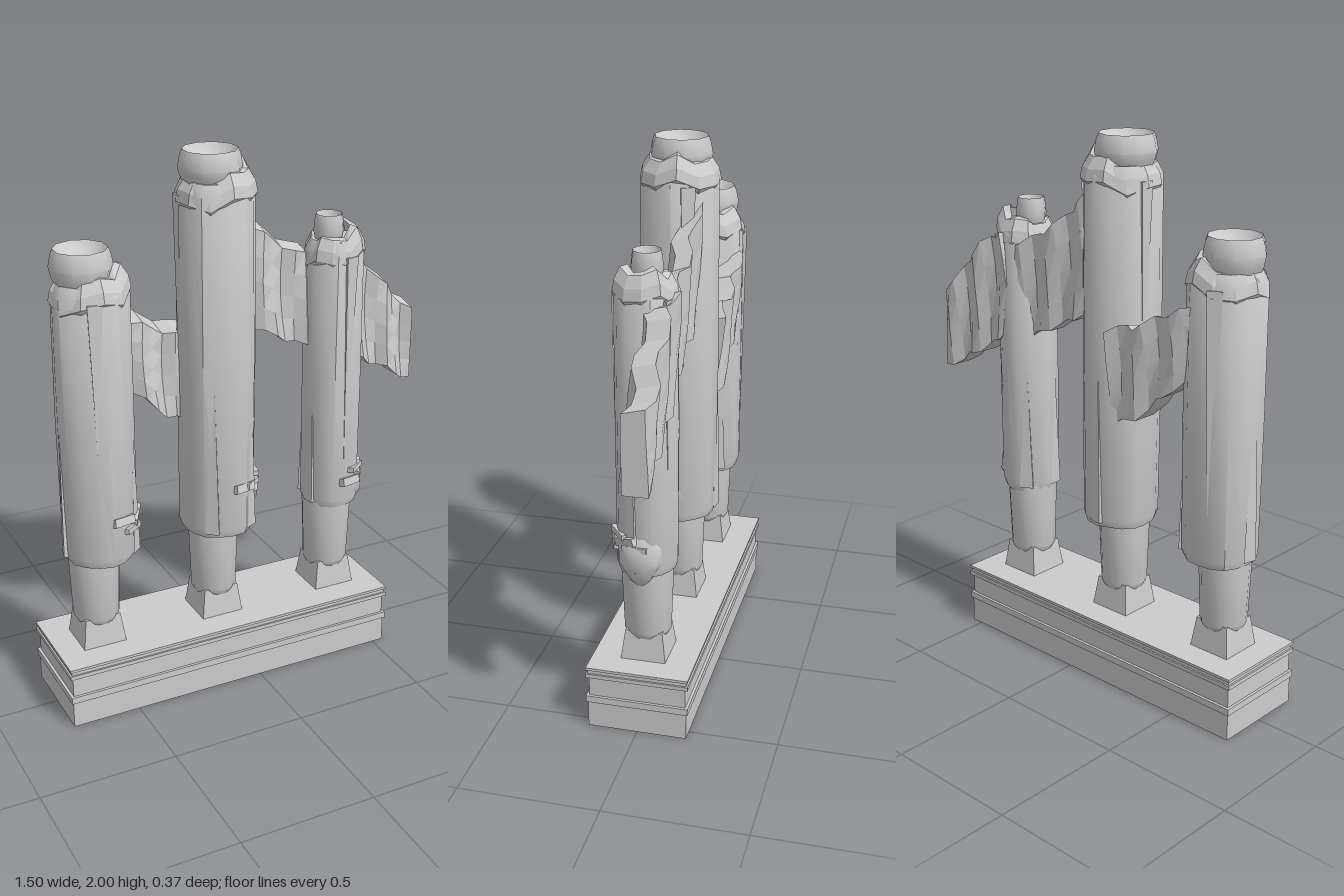
import * as THREE from 'three';
import { toCreasedNormals } from 'three/addons/utils/BufferGeometryUtils.js';

const grey = new THREE.MeshStandardMaterial({ color: 0xcccccc, side: THREE.DoubleSide });
const facet = new THREE.MeshStandardMaterial({ color: 0xcccccc, flatShading: true, side: THREE.DoubleSide });

function add(parent, name, geometry, material, x = 0, y = 0, z = 0) {
  const mesh = new THREE.Mesh(geometry, material);
  mesh.name = name;
  mesh.position.set(x, y, z);
  parent.add(mesh);
  return mesh;
}

// Move every vertex of a geometry by a rule
function warp(geometry, rule) {
  const p = geometry.attributes.position, v = new THREE.Vector3();
  for (let i = 0; i < p.count; i++) {
    rule(v.fromBufferAttribute(p, i));
    p.setXYZ(i, v.x, v.y, v.z);
  }
  geometry.computeVertexNormals();
  return geometry;
}

const lathe = (points, sides) =>
  new THREE.LatheGeometry(points.map(([r, y]) => new THREE.Vector2(r, y)), sides);
const creased = (geometry, angle = 0.6) => toCreasedNormals(geometry, angle);

// Stepped plinth made of three butted sections
function plinth() {
  const group = new THREE.Group();
  group.name = 'plinth';
  const layers = [[0, 0.1, 0.006], [0.1, 0.125, 0], [0.125, 0.2, 0.01], [0.2, 0.215, 0], [0.215, 0.23, 0.006], [0.23, 0.24, 0]];
  for (const [x0, x1, side] of [[-0.76, -0.4, -1], [-0.4, 0.2, 0], [0.2, 0.55, 1]]) {
    for (const [y0, y1, inset] of layers) {
      const left = x0 + (side < 0 ? inset : 0), right = x1 - (side > 0 ? inset : 0);
      const depth = 0.37 - 2 * inset;
      add(group, 'plinthLayer', new THREE.BoxGeometry(right - left, y1 - y0, depth), facet,
        (left + right) / 2, (y0 + y1) / 2, 0);
    }
  }
  return group;
}

// One wrapped pillar: foot, shaft, cloth cover, collar, cup and gathered knot
function pillar({ name, footX, coverX, r, bottom, top, cupX, cupR, cupTop, shaftTop, knotY, phase }) {
  const group = new THREE.Group();
  group.name = name;

  const foot = new THREE.CylinderGeometry(0.095, 0.115, 0.11, 4).rotateY(Math.PI / 4);
  add(group, 'foot', foot, facet, footX, 0.295, 0);
  const shaft = lathe([[0, 0.325], [0.075, 0.325], [0.085, 0.345], [0.095, shaftTop], [0, shaftTop]], 14);
  add(group, 'shaft', creased(shaft), grey, footX, 0, 0);

  // Draped cover with shallow vertical folds
  const cover = lathe([[0, bottom], [r - 0.01, bottom], [r, bottom + 0.03], [r * 1.02, bottom + (top - bottom) * 0.5],
    [r, top - 0.04], [r - 0.02, top], [0, top]], 16);
  warp(cover, (v) => {
    const a = Math.atan2(v.z, v.x);
    const fold = 1 + 0.03 * Math.sin(5 * a + phase) + 0.015 * Math.sin(3 * a + v.y * 3 + phase);
    v.x *= fold;
    v.z *= fold;
  });
  add(group, 'cover', creased(cover), grey, coverX, 0, 0);

  // Uneven folded collar
  const collar = lathe([[r * 0.55, top + 0.025], [r * 0.8, top + 0.02], [r * 0.99, top - 0.02],
    [r * 1.05, top - 0.06], [r * 0.95, top - 0.08]], 11);
  warp(collar, (v) => {
    const a = Math.atan2(v.z, v.x);
    v.y += 0.018 * Math.sin(4 * a + phase) + 0.02 * Math.cos(a);
  });
  add(group, 'collar', collar, facet, coverX, 0, 0);

  // Open cup with a shallow hollow
  const cup = lathe([[cupR * 0.75, top - 0.03], [cupR * 0.93, top + 0.01], [cupR, cupTop - 0.06], [cupR * 0.93, cupTop - 0.02],
    [cupR * 0.86, cupTop], [cupR * 0.6, cupTop - 0.035], [0, cupTop - 0.05]], 10);
  add(group, 'cup', creased(cup, 0.7), grey, cupX, 0, 0);

  // Cloth gathered into a pointed bulge on the left side
  const knotX = coverX + r * 0.55;
  const knot = lathe([[0, -0.13], [0.04, -0.09], [0.085, -0.02], [0.085, 0.04], [0.06, 0.1], [0, 0.15]], 10);
  warp(knot, (v) => { v.x = v.x * 0.8 - v.y * 0.1; });
  add(group, 'gatheredCloth', creased(knot, 0.8), grey, knotX, knotY, 0.005);

  // Crumpled ties across the gather
  for (let i = 0; i < 4; i++) {
    const a = 0.15 + i * 0.36;
    const tie = add(group, 'tie', new THREE.BoxGeometry(0.025, 0.02 + 0.01 * (i % 2), 0.09), facet,
      coverX + Math.cos(a) * r * 0.98, knotY + 0.06 + 0.025 * Math.sin(i * 2.3 + phase), Math.sin(a) * r * 0.98);
    tie.rotation.set(0.3 * Math.sin(i * 1.7), -a, 0);
  }

  // Long narrow pleats lying against the cover
  for (let i = 0; i < 5; i++) {
    const a = phase + i * 1.27, h = (top - bottom) * (0.5 + 0.1 * (i % 4));
    const pleat = new THREE.ConeGeometry(0.035, h, 3);
    if (i % 2) pleat.rotateX(Math.PI);
    pleat.scale(0.4, 1, 1);
    const mesh = add(group, 'pleat', pleat, facet, coverX + Math.cos(a) * r * 0.98,
      i % 2 ? top - 0.05 - h / 2 : bottom + 0.02 + h / 2, Math.sin(a) * r * 0.98);
    mesh.rotation.y = -a;
  }
  return group;
}

// Hanging cloth between x0 and x1, given end heights and depth range
function banner(name, x0, x1, tops, bottoms, zFront, zBack, phase) {
  const geometry = new THREE.BoxGeometry(1, 1, 1, 9, 4, 1);
  const curve = (ys) => new THREE.CatmullRomCurve3(ys.map((y, i) => new THREE.Vector3(i, y, 0)));
  const upper = curve(tops), lower = curve(bottoms);
  warp(geometry, (v) => {
    const u = v.x + 0.5, h = v.y + 0.5, front = v.z > 0;
    const y = THREE.MathUtils.lerp(lower.getPoint(u).y, upper.getPoint(u).y, h);
    const wave = 0.018 * Math.sin(u * 15 + h * 2 + phase);
    v.set(x0 + (x1 - x0) * u - 0.02 * Math.sin(h * Math.PI) * (1 - u),
      y + 0.012 * Math.sin(u * 17 + phase) - (front ? 0.02 : 0) * h,
      (front ? zFront - 0.03 * h : zBack + 0.02 * (1 - h)) + wave);
  });
  const group = new THREE.Group();
  group.name = name;
  add(group, 'cloth', geometry, facet);
  return group;
}

export function createModel() {
  const model = new THREE.Group();
  model.name = 'wrappedPillars';
  model.add(plinth());

  model.add(pillar({ name: 'rightPillar', footX: -0.585, coverX: -0.56, r: 0.134, bottom: 0.58, top: 1.61,
    cupX: -0.585, cupR: 0.108, cupTop: 1.72, shaftTop: 0.62, knotY: 0.67, phase: 0.6 }));
  model.add(pillar({ name: 'middlePillar', footX: -0.11, coverX: -0.09, r: 0.137, bottom: 0.59, top: 1.9,
    cupX: -0.11, cupR: 0.112, cupTop: 2, shaftTop: 0.63, knotY: 0.71, phase: 2.1 }));
  model.add(pillar({ name: 'leftPillar', footX: 0.375, coverX: 0.383, r: 0.107, bottom: 0.59, top: 1.63,
    cupX: 0.357, cupR: 0.056, cupTop: 1.72, shaftTop: 0.62, knotY: 0.66, phase: 4 }));

  model.add(banner('rightBanner', -0.52, -0.15, [1.49, 1.44, 1.38, 1.35], [1.24, 1.16, 1.05, 1.0], -0.02, -0.14, 0));
  model.add(banner('middleBanner', -0.02, 0.36, [1.8, 1.69, 1.61, 1.56], [1.38, 1.31, 1.25, 1.18], 0, -0.09, 1.5));
  model.add(banner('leftBanner', 0.4, 0.74, [1.6, 1.54, 1.42, 1.31], [1.22, 1.14, 1.08, 1.01], 0, -0.11, 3));
  return model;
}
